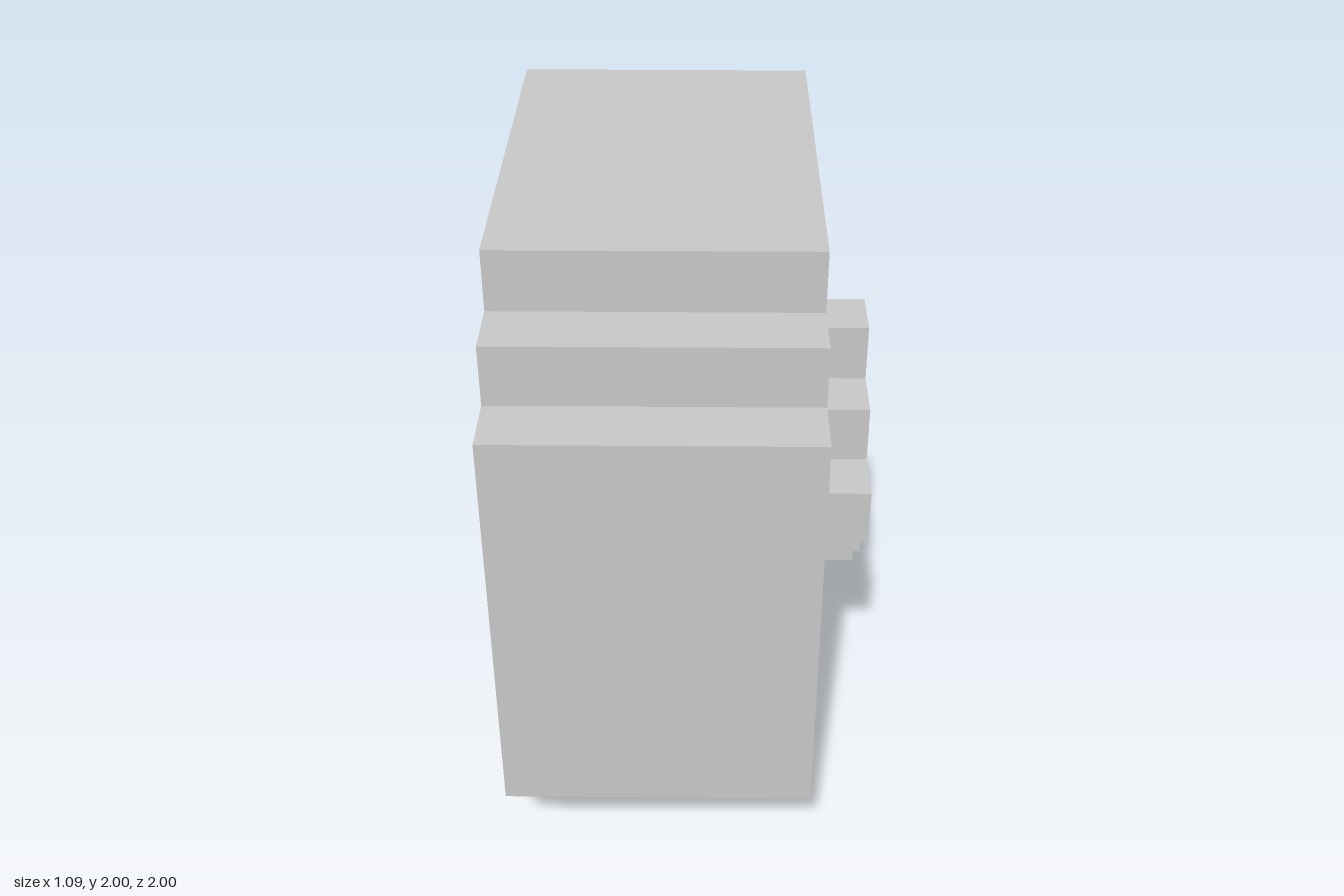
import * as THREE from 'three';

const U = 2 / 11; // one block

// Right-hand steps of a symmetric blocky outline, from half-widths of rows listed top to bottom
function steps(halfWidths) {
  const top = halfWidths.length / 2;
  return halfWidths.flatMap((w, i) => [[w, top - i], [w, top - i - 1]]);
}

// Mirror the right half into a closed clockwise loop, dropping points in the middle of straight runs
function loop(half) {
  const all = [...half, ...half.map(([x, y]) => [-x, y]).reverse()];
  return all
    .filter(([x, y], i) => {
      const a = all[(i + all.length - 1) % all.length], b = all[(i + 1) % all.length];
      return !((a[0] === x && b[0] === x) || (a[1] === y && b[1] === y));
    })
    .map(([x, y]) => new THREE.Vector2(x * U, y * U));
}

export function createModel() {
  const model = new THREE.Group();
  const grey = new THREE.MeshStandardMaterial({ color: 0xc8c8c8 });
  grey.name = 'grey';

  // Extrude an outline along x between two block positions; holes wind the other way
  function layer(name, outline, from, to, hole) {
    const shape = new THREE.Shape(loop(outline));
    if (hole) shape.holes.push(new THREE.Path(loop(hole).reverse()));
    const geo = new THREE.ExtrudeGeometry(shape, { depth: (to - from) * U, bevelEnabled: false });
    geo.translate(0, 0, from * U).rotateY(Math.PI / 2);
    const mesh = new THREE.Mesh(geo, grey);
    mesh.name = name;
    mesh.position.y = 1;
    model.add(mesh);
  }

  const tyre = steps([3.5, 4.5, 5.5, 5.5, 5.5, 5.5, 5.5, 5.5, 5.5, 4.5, 3.5]);
  const well = steps([1.5, 2.5, 3.5, 3.5, 3.5, 2.5, 1.5]);
  // Openings around the hub, with a spoke rising from the bottom
  const openings = [...steps([1.5, 2.5, 3.5, 2.5, 3.5, 1.5, 1.5]), [0.5, -3.5], [0.5, -2.5]];
  const diamond = steps([0.5, 1.5, 2.5, 1.5, 0.5]);

  layer('innerTyre', tyre, -3, -1, well);
  layer('wheelDisc', tyre, -1, 1);
  layer('outerTyre', tyre, 1, 2, openings);
  layer('hub', diamond, 1, 3);

  // Bolts standing in the inner well
  const bolts = new THREE.Group();
  bolts.name = 'bolts';
  const box = new THREE.BoxGeometry(U, U, U);
  for (const [z, y] of [[0, 0], [0, 2], [0, -2], [2, 1], [2, -1], [-2, 1], [-2, -1]]) {
    const bolt = new THREE.Mesh(box, grey);
    bolt.name = 'bolt';
    bolt.position.set(-1.5 * U, 1 + y * U, z * U);
    bolts.add(bolt);
  }
  model.add(bolts);
  return model;
}
